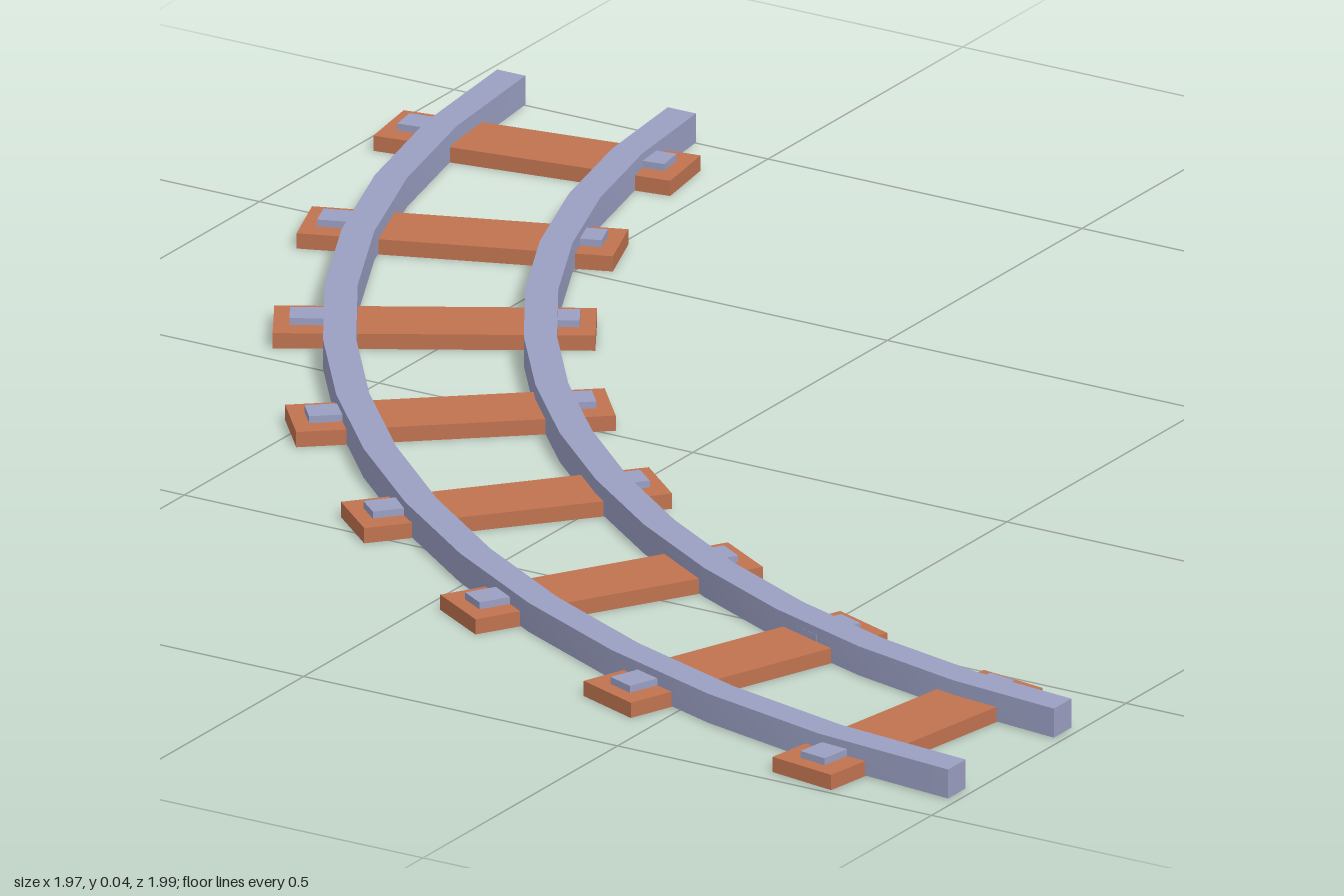
import * as THREE from 'three';
import { toCreasedNormals } from 'three/addons/utils/BufferGeometryUtils.js';

const steel = new THREE.MeshStandardMaterial({ color: 0x9a9fc2 });
steel.name = 'steel';
const wood = new THREE.MeshStandardMaterial({ color: 0xc07350 });
wood.name = 'wood';

// Centre line of the track, in plan: Vector2 (x, z)
const path = new THREE.CubicBezierCurve(
  new THREE.Vector2(0.987, 0.778), new THREE.Vector2(0.099, 0.736),
  new THREE.Vector2(-0.736, -0.105), new THREE.Vector2(-0.773, -1)
);

// Point at arc-length fraction u, shifted outwards from the bend
function offsetPoint(u, offset) {
  const p = path.getPointAt(u), t = path.getTangentAt(u);
  return new THREE.Vector2(p.x + t.y * offset, p.y - t.x * offset);
}

// Rectangular rail swept along the offset centre line
function railGeometry(offset, width, y0, y1, segments = 14) {
  const positions = [], index = [];
  for (let i = 0; i <= segments; i++) {
    const u = i / segments;
    const a = offsetPoint(u, offset - width / 2), b = offsetPoint(u, offset + width / 2);
    // Square the two ends off with the edges of the track piece
    for (const p of [a, b]) {
      if (i === 0) p.x = 0.987;
      if (i === segments) p.y = -1;
    }
    positions.push(a.x, y0, a.y, b.x, y0, b.y, b.x, y1, b.y, a.x, y1, a.y);
  }
  for (let i = 0; i < segments; i++) {
    for (let j = 0; j < 4; j++) {
      const a = i * 4 + j, b = i * 4 + (j + 1) % 4;
      index.push(a, b, b + 4, a, b + 4, a + 4);
    }
  }
  const e = segments * 4;
  index.push(0, 2, 1, 0, 3, 2, e, e + 1, e + 2, e, e + 2, e + 3);
  const g = new THREE.BufferGeometry();
  g.setAttribute('position', new THREE.Float32BufferAttribute(positions, 3));
  g.setIndex(index);
  // Make sure the faces point outwards
  let volume = 0;
  const v = [0, 1, 2].map(() => new THREE.Vector3());
  for (let i = 0; i < index.length; i += 3) {
    v.forEach((p, k) => p.fromArray(positions, index[i + k] * 3));
    volume += v[0].dot(v[1].clone().cross(v[2]));
  }
  if (volume < 0) g.setIndex(index.reverse());
  return toCreasedNormals(g, Math.PI / 6);
}

function box(name, w, h, d, material, x, y, z) {
  const m = new THREE.Mesh(new THREE.BoxGeometry(w, h, d), material);
  m.name = name;
  m.position.set(x, y, z);
  return m;
}

export function createModel() {
  const group = new THREE.Group();
  group.name = 'curvedTrack';

  // Two rails
  for (const [name, offset] of [['innerRail', -0.136], ['outerRail', 0.136]]) {
    const rail = new THREE.Mesh(railGeometry(offset, 0.045, 0.001, 0.043), steel);
    rail.name = name;
    group.add(rail);
  }

  // Sleepers square to the track, each with a fixing plate by either rail
  const count = 8;
  for (let i = 0; i < count; i++) {
    const u = (i + 0.5) / count;
    const p = offsetPoint(u, 0.006), t = path.getTangentAt(u);
    const sleeper = new THREE.Group();
    sleeper.name = 'sleeper' + (i + 1);
    sleeper.position.set(p.x, 0, p.y);
    sleeper.rotation.y = Math.atan2(t.y, -t.x);
    sleeper.add(box('plank', 0.105, 0.022, 0.437, wood, 0, 0.011, 0));
    for (const s of [-1, 1]) {
      sleeper.add(box('fixingPlate', 0.043, 0.022, 0.075, steel, 0, 0.021, s * 0.159));
    }
    group.add(sleeper);
  }
  return group;
}
